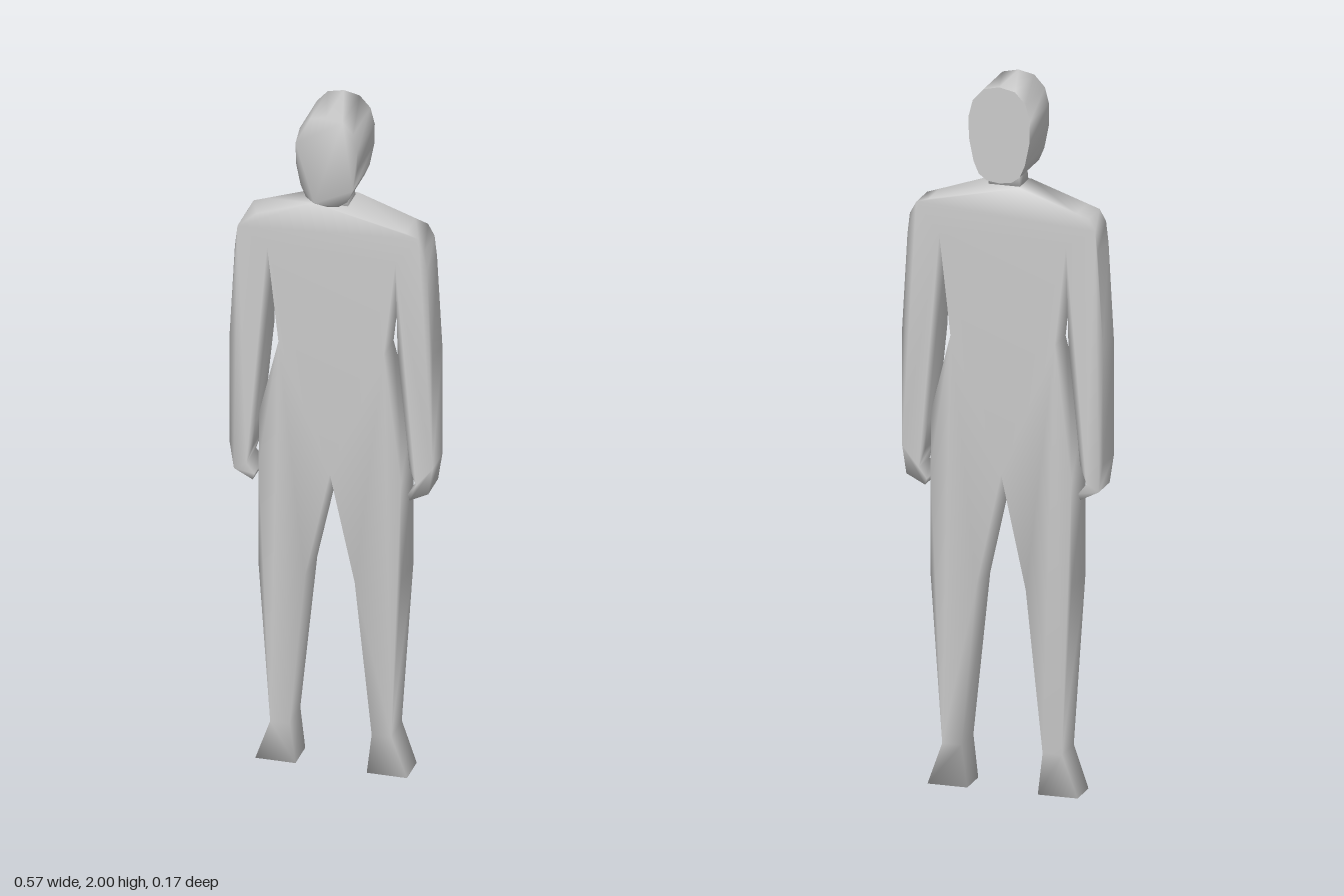
import * as THREE from 'three';
import { mergeVertices } from 'three/addons/utils/BufferGeometryUtils.js';

const grey = new THREE.MeshStandardMaterial({ color: 0xcccccc });

// Closed symmetric outline from the points of its +x half, top to bottom
function mirroredShape(half) {
  const other = half.filter(([x]) => x > 0).map(([x, y]) => [-x, y]).reverse();
  return new THREE.Shape([...half, ...other].map(([x, y]) => new THREE.Vector2(x, y)));
}

// Slab with shared, smooth normals; swell(x, y) adds thickness on both faces
function slab(name, shape, front, back, swell = () => 0) {
  let geo = new THREE.ExtrudeGeometry(shape, { depth: 1, bevelEnabled: false });
  geo.deleteAttribute('normal');
  geo.deleteAttribute('uv');
  geo = mergeVertices(geo, 1e-4);
  const p = geo.attributes.position;
  for (let i = 0; i < p.count; i++) {
    const s = swell(p.getX(i), p.getY(i));
    p.setZ(i, p.getZ(i) > 0.5 ? front + s : back - s);
  }
  geo.computeVertexNormals();
  const mesh = new THREE.Mesh(geo, grey);
  mesh.name = name;
  return mesh;
}

export function createModel() {
  const group = new THREE.Group();
  group.name = 'standingFigure';

  // Torso, arms and legs in one outline
  const body = mirroredShape([
    [0.05, 1.71], [0.21, 1.655], [0.245, 1.643], [0.263, 1.61], [0.27, 1.55], // shoulder
    [0.285, 1.28], [0.285, 0.95], [0.273, 0.872], [0.22, 0.845],              // outer arm, hand
    [0.215, 0.862], [0.238, 0.892], [0.22, 0.945], [0.213, 1.02],             // thumb side
    [0.187, 1.28], [0.18, 1.56],                                              // inner arm, armpit
    [0.148, 1.275], [0.198, 1.06], [0.2, 0.9], [0.2, 0.6],                    // waist, hip, thigh
    [0.17, 0.12], [0.213, 0], [0.1, 0], [0.115, 0.12],                        // ankle, foot
    [0.07, 0.58], [0, 0.9],                                                   // knee, crotch
  ]);
  // The hips and thighs are thicker than the arms, chest and feet
  const hipSwell = (x, y) => {
    if (y > 1.2 || Math.abs(x) > 0.205 || y < 0.05) return 0;
    return y < 0.3 ? 0.004 : 0.013;
  };
  group.add(slab('body', body, 0.038, -0.056, hipSwell));

  // Neck
  const neck = mirroredShape([[0.04, 1.76], [0.046, 1.7]]);
  group.add(slab('neck', neck, 0.03, -0.042));

  // Head: oval, deep, with a flat back
  const oval = mirroredShape([
    [0, 2], [0.045, 1.99], [0.075, 1.957], [0.087, 1.91], [0.086, 1.85],
    [0.073, 1.785], [0.058, 1.75], [0.035, 1.733], [0, 1.728],
  ]);
  group.add(slab('head', oval, 0.082, -0.084));
  const back = new THREE.Mesh(new THREE.ShapeGeometry(oval), grey);
  back.name = 'headBack';
  back.rotation.y = Math.PI;
  back.position.z = -0.085;
  group.add(back);

  return group;
}
